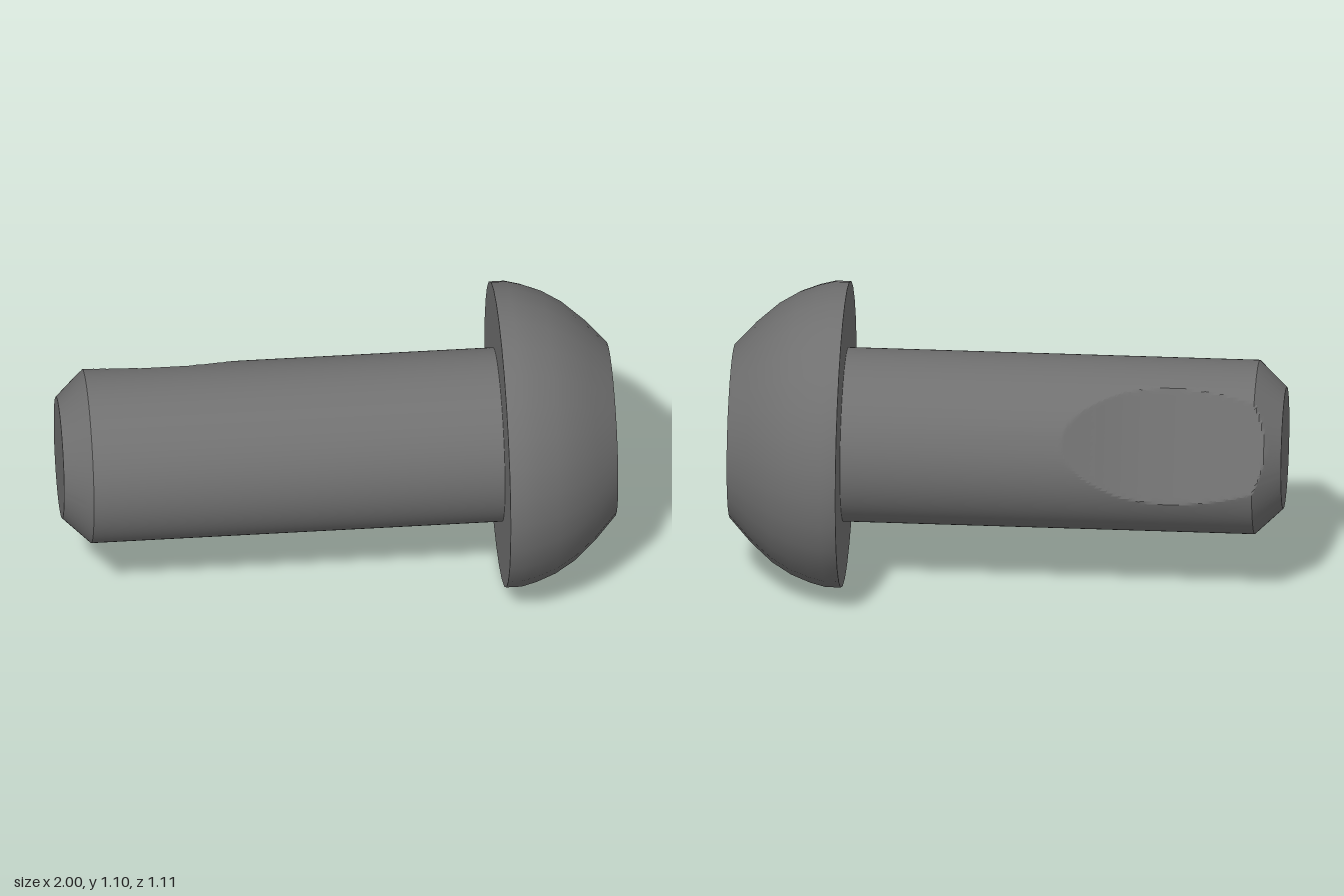
import * as THREE from 'three';
import { toCreasedNormals } from 'three/addons/utils/BufferGeometryUtils.js';

const AXIS_Y = 0.555;   // height of the screw axis
const SIDES = 30;       // facets round the head
const FACE_R = 0.315;   // flat front of the head, also the shank radius

// straight-line lookup in a list of [x, value]
function lookup(points, x) {
  for (let i = 1; i < points.length; i++) {
    const [x0, v0] = points[i - 1], [x1, v1] = points[i];
    if (x <= x1) return v0 + (v1 - v0) * (x - x0) / (x1 - x0);
  }
  return points[points.length - 1][1];
}

// Shank: chamfered cylinder with a shallow scoop in the back near the tip
function shankGeometry() {
  const outline = [[-1, 0.22], [-0.9, FACE_R], [0.6, FACE_R]];
  const scoop = new THREE.SplineCurve([[-1, 0.285], [-0.9, 0.268], [-0.75, 0.245], [-0.6, 0.235],
    [-0.45, 0.247], [-0.32, 0.28], [-0.2, 0.317]].map(p => new THREE.Vector2(...p)))
    .getPoints(90).map(p => [p.x, p.y]);
  const tilt = 0.42, around = 180;
  const rows = [[-1, 0]];
  for (let i = 0; i <= 80; i++) rows.push([-1 + i * 0.01, 1]);
  rows.push([0.6, 1]);
  const pos = [], index = [];
  rows.forEach(([x, scale], i) => {
    for (let j = 0; j <= around; j++) {
      const a = j / around * Math.PI * 2;
      let r = lookup(outline, x);
      const c = Math.cos(a - tilt);
      if (x < -0.2 && c > 0.3) r = Math.min(r, lookup(scoop, x) / c);
      r *= scale;
      pos.push(x, r * Math.sin(a), -r * Math.cos(a));
      if (i < rows.length - 1 && j < around) {
        const p = i * (around + 1) + j, q = p + around + 1;
        if (i > 0) index.push(p, p + 1, q);
        index.push(p + 1, q + 1, q);
      }
    }
  });
  const g = new THREE.BufferGeometry();
  g.setAttribute('position', new THREE.Float32BufferAttribute(pos, 3));
  g.setIndex(index);
  return toCreasedNormals(g, 0.3);
}

// Closed loop of points with radius r(angle)
function loop(count, radius) {
  return Array.from({ length: count }, (_, i) => {
    const a = i / count * Math.PI * 2, r = radius(a);
    return new THREE.Vector2(r * Math.cos(a), r * Math.sin(a));
  });
}

export function createModel() {
  const root = new THREE.Group();
  root.name = 'screw';
  const steel = new THREE.MeshStandardMaterial({ color: 0x707070 });
  steel.name = 'dark steel';
  const add = (name, geometry) => {
    const mesh = new THREE.Mesh(geometry, steel);
    mesh.name = name;
    mesh.position.y = AXIS_Y;
    root.add(mesh);
  };

  add('shank', shankGeometry());

  // Domed head, turned so its axis lies along x
  const profile = [[0.28, 0.59], [0.555, 0.59], [0.555, 0.645], [0.541, 0.7], [0.514, 0.77],
    [0.472, 0.84], [0.402, 0.92], [FACE_R, 1]].map(p => new THREE.Vector2(...p));
  const head = new THREE.LatheGeometry(profile, SIDES).rotateZ(-Math.PI / 2);
  add('head', toCreasedNormals(head, 0.5));

  // Flat face with a six-lobed socket
  const lobes = loop(120, a => 0.207 + 0.076 * Math.pow((1 + Math.cos(6 * (a + 0.122))) / 2, 1.4));
  const face = new THREE.Shape(loop(SIDES, () => FACE_R));
  face.holes.push(new THREE.Path(lobes));
  const depth = 0.27;
  const socket = new THREE.ExtrudeGeometry(face, { depth, bevelEnabled: false })
    .rotateY(Math.PI / 2).translate(1 - depth, 0, 0);
  add('socketFace', toCreasedNormals(socket, 0.5));

  // Bottom of the socket
  const floor = new THREE.ShapeGeometry(new THREE.Shape(lobes))
    .rotateY(Math.PI / 2).translate(1 - depth, 0, 0);
  add('socketFloor', floor);

  return root;
}
